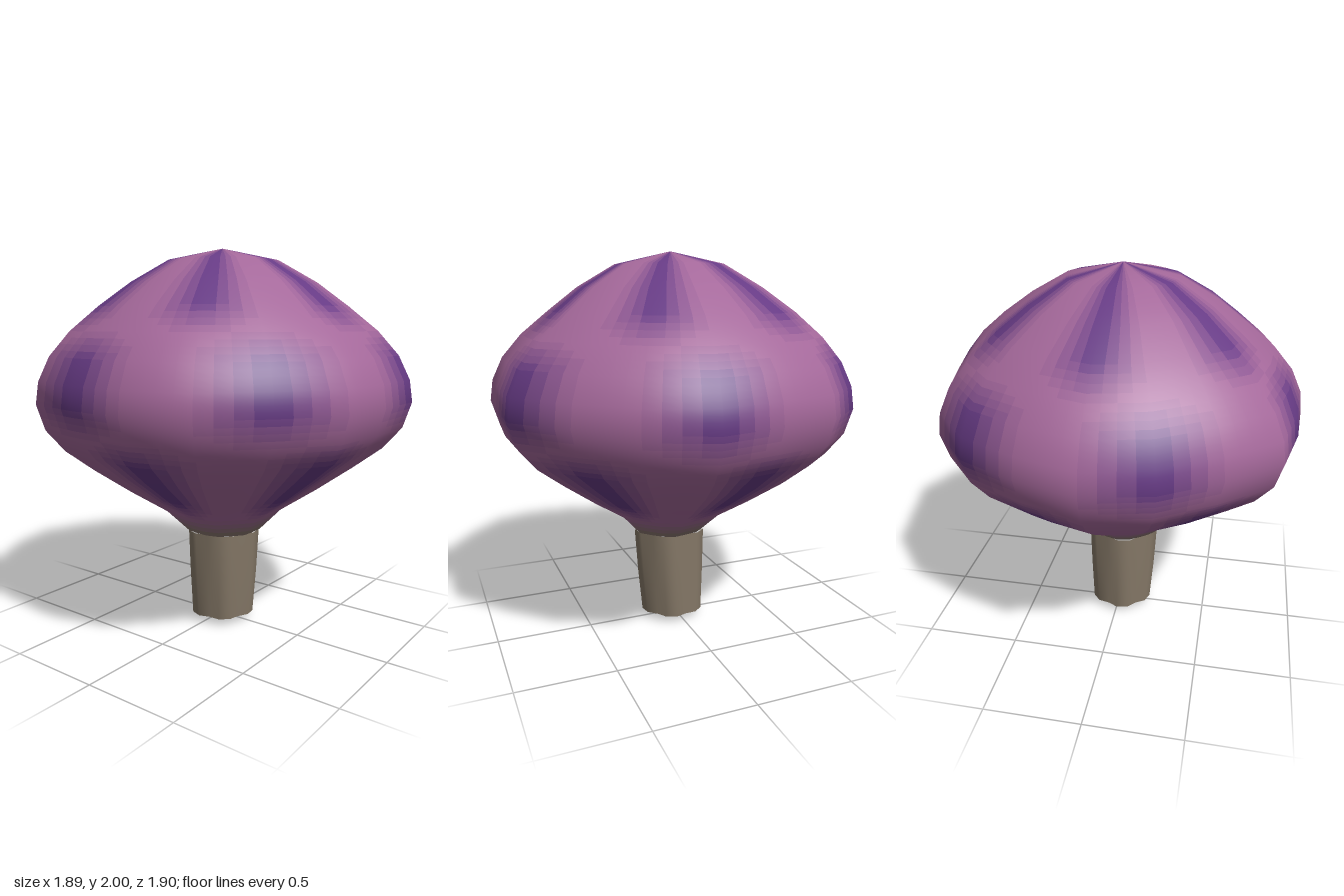
import * as THREE from 'three';

const SIDES = 18, SUB = 4;
const PINK = new THREE.Color(0xa4689a), PURPLE = new THREE.Color(0x5a3082), BEIGE = new THREE.Color(0x857867);

// Slightly uneven radius of each of the 18 columns, counted from +x towards +z
const UNEVEN = [0.945, 0.985, 0.945, 0.985, 0.957, 0.93, 0.975, 0.915, 0.93,
  0.95, 0.91, 0.936, 0.94, 0.9, 0.97, 0.947, 0.93, 0.996].map((r) => r / 0.95);

// Rings from top to bottom: height, radius, centre shift, column (mod 3) that carries a dark streak
const CAP = [
  [2.0, 0, 0.02, 0], [1.935, 0.285, 0.015, 0], [1.82, 0.48, 0.01, 0], [1.7, 0.64, 0, 0],
  [1.58, 0.78, 0, -1], [1.46, 0.88, 0, 2], [1.34, 0.935, 0, 2], [1.23, 0.95, 0, 2],
  [1.1, 0.91, 0, -1], [0.99, 0.82, 0, 1], [0.88, 0.68, 0, 1], [0.75, 0.495, 0.01, 1],
  [0.63, 0.31, 0.02, -1], [0.515, 0.195, 0.03, -1],
];
const STEM = [[0.515, 0.195, 0.03, -1], [0.28, 0.185, 0.025, -1], [0.04, 0.17, 0.018, -1]];
const BASE = [[0.04, 0.17, 0.018, -1], [0.0, 0, 0.018, -1]];

// Builds a closed skin through the rings, split into one mesh per shade.
// paint(row, dark) gives the colour at a fractional row with a streak strength 0..1.
function skin(name, rings, radiusAt, paint) {
  const group = new THREE.Group();
  group.name = name;
  const points = [], faces = [];
  rings.forEach(([y, r, shift], i) => {
    for (let k = 0; k < SIDES; k++) {
      const a = (k / SIDES) * Math.PI * 2, rad = r * radiusAt(k);
      points.push(shift + rad * Math.cos(a), y, shift * 0.6 + rad * Math.sin(a));
      if (i + 1 < rings.length) {
        const p = i * SIDES + k, q = i * SIDES + ((k + 1) % SIDES);
        faces.push(p, q, p + SIDES, q, q + SIDES, p + SIDES);
      }
    }
  });
  const coarse = new THREE.BufferGeometry();
  coarse.setAttribute('position', new THREE.Float32BufferAttribute(points, 3));
  coarse.setIndex(faces);
  coarse.computeVertexNormals();
  const { position, normal } = coarse.attributes;
  rings.forEach(([y, r], i) => {
    if (r > 0) return;
    for (let k = 0; k < SIDES; k++) normal.setXYZ(i * SIDES + k, 0, y > 1 ? 1 : -1, 0);
  });

  // Bilinear sample of any per-ring-vertex quantity
  const mix = (u, v, get) => {
    const i = Math.min(Math.floor(v), rings.length - 2), k = Math.floor(u);
    const fu = u - k, fv = v - i;
    const k0 = k % SIDES, k1 = (k + 1) % SIDES;
    const top = THREE.MathUtils.lerp(get(i, k0), get(i, k1), fu);
    const low = THREE.MathUtils.lerp(get(i + 1, k0), get(i + 1, k1), fu);
    return THREE.MathUtils.lerp(top, low, fv);
  };
  const streak = (i, k) => (k % 3 === rings[i][3] ? 1 : 0);

  // Finer grid, with each small face sorted by its shade
  const cols = SIDES * SUB, rows = (rings.length - 1) * SUB;
  const pos = [], nor = [], shades = new Map();
  for (let j = 0; j <= rows; j++) {
    for (let c = 0; c <= cols; c++) {
      for (let n = 0; n < 3; n++) {
        pos.push(mix(c / SUB, j / SUB, (i, k) => position.getComponent(i * SIDES + k, n)));
        nor.push(mix(c / SUB, j / SUB, (i, k) => normal.getComponent(i * SIDES + k, n)));
      }
      if (j === rows || c === cols) continue;
      const v = (j + 0.5) / SUB;
      const dark = Math.round(mix((c + 0.5) / SUB, v, streak) * 8) / 8;
      const hex = paint(v, dark).getHex();
      if (!shades.has(hex)) shades.set(hex, []);
      const p = j * (cols + 1) + c, q = p + cols + 1;
      shades.get(hex).push(p, p + 1, q, p + 1, q + 1, q);
    }
  }
  const posAttr = new THREE.Float32BufferAttribute(pos, 3);
  const norAttr = new THREE.Float32BufferAttribute(nor, 3);
  for (const [hex, index] of shades) {
    const geometry = new THREE.BufferGeometry();
    geometry.setAttribute('position', posAttr);
    geometry.setAttribute('normal', norAttr);
    geometry.setIndex(index);
    geometry.normalizeNormals();
    const mesh = new THREE.Mesh(geometry, new THREE.MeshStandardMaterial({ color: hex }));
    mesh.name = name + 'Shade';
    group.add(mesh);
  }
  return group;
}

export function createModel() {
  const model = new THREE.Group();
  model.name = 'mushroom';

  // Cap: pink with three staggered tiers of purple streaks, fading to beige at the stem
  model.add(skin('cap', CAP, (k) => UNEVEN[k], (row, dark) =>
    PINK.clone().lerp(PURPLE, dark).lerp(BEIGE, Math.max(0, row - (CAP.length - 2)))));

  // Stem: shallow grooves on every third column, and a slightly pointed foot
  const grooved = (k) => (k % 3 === 1 ? 0.92 : 1.03);
  model.add(skin('stem', STEM, grooved, () => BEIGE));
  model.add(skin('stemFoot', BASE, grooved, () => BEIGE));
  return model;
}
